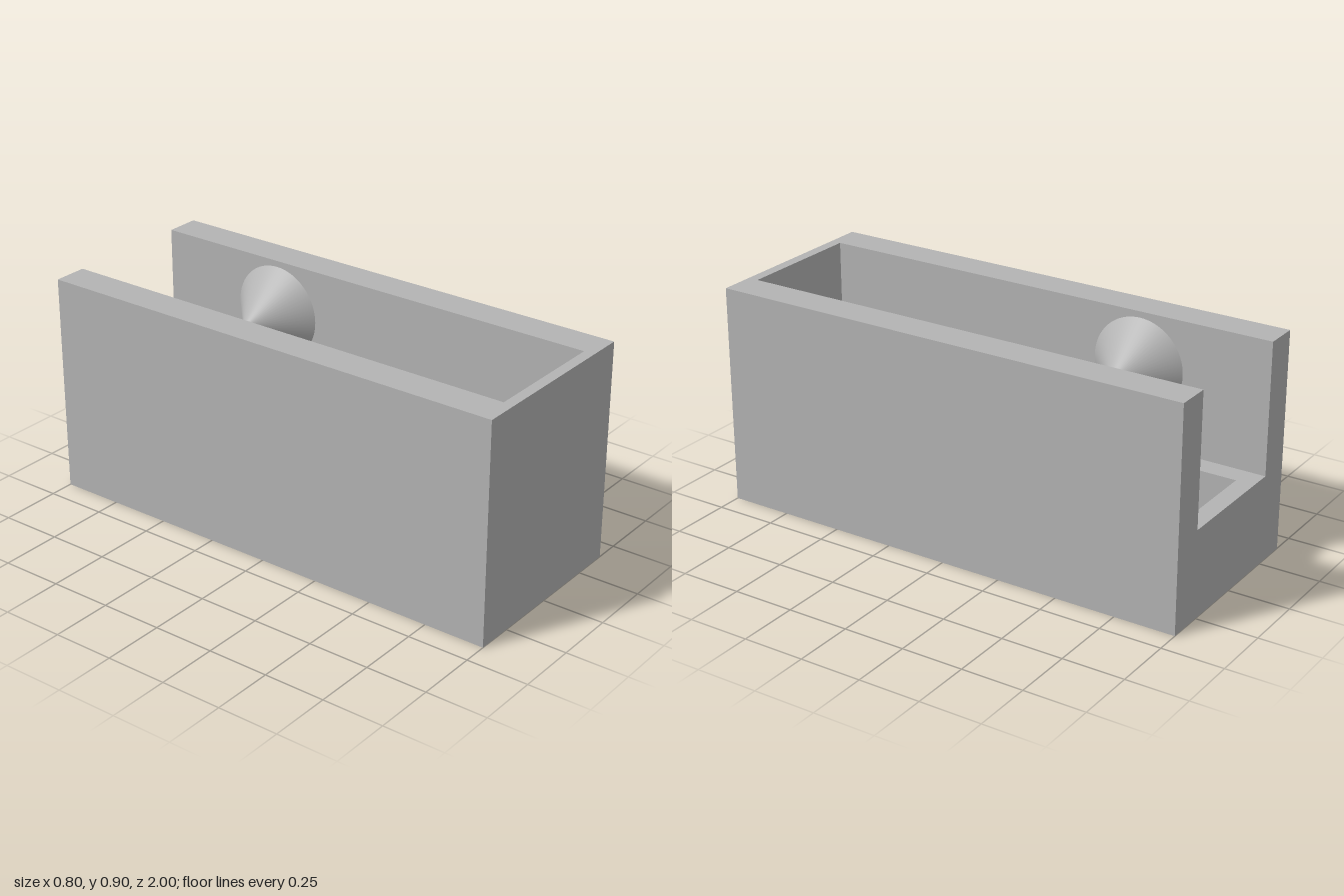
import * as THREE from 'three';

const W = 0.4, H = 0.896, L = 1;        // half width, height, half length
const FLOOR = 0.36, INNER = 0.262, FRONT = 0.957;

// Extrude a plan outline (x, z) upward from y0 to y1
function slab(outline, y0, y1, hole) {
  const toPoints = (pts) => pts.map(([x, z]) => new THREE.Vector2(x, -z));
  const shape = new THREE.Shape(toPoints(outline));
  if (hole) shape.holes.push(new THREE.Path(toPoints(hole)));
  const geometry = new THREE.ExtrudeGeometry(shape, { depth: y1 - y0, bevelEnabled: false });
  return geometry.rotateX(-Math.PI / 2).translate(0, y0, 0);
}

const rect = (x, z0, z1) => [[-x, z1], [x, z1], [x, z0], [-x, z0]];

export function createModel() {
  const model = new THREE.Group();
  model.name = 'openTrough';
  const grey = new THREE.MeshStandardMaterial({ color: 0xb3b3b3 });
  grey.name = 'plain grey';

  const add = (name, geometry) => {
    const mesh = new THREE.Mesh(geometry, grey);
    mesh.name = name;
    model.add(mesh);
    return mesh;
  };

  // Thick floor with a rectangular slot right through it
  add('floorBlock', slab(rect(W, -L, L), 0, FLOOR, rect(0.172, -0.925, 0.175)));

  // Side walls joined by a thin front wall, open at the back
  add('walls', slab([
    [-W, L], [W, L], [W, -L], [INNER, -L],
    [INNER, FRONT], [-INNER, FRONT], [-INNER, -L], [-W, -L],
  ], FLOOR, H));

  // Pair of blunt cones facing each other across the channel
  for (const side of [-1, 1]) {
    const cone = new THREE.CylinderGeometry(0.021, 0.191, 0.19, 64);
    cone.rotateZ(side * Math.PI / 2);
    const mesh = add(side > 0 ? 'leftCone' : 'rightCone', cone);
    mesh.position.set(side * (INNER - 0.095), 0.68, -0.448);
  }
  return model;
}
